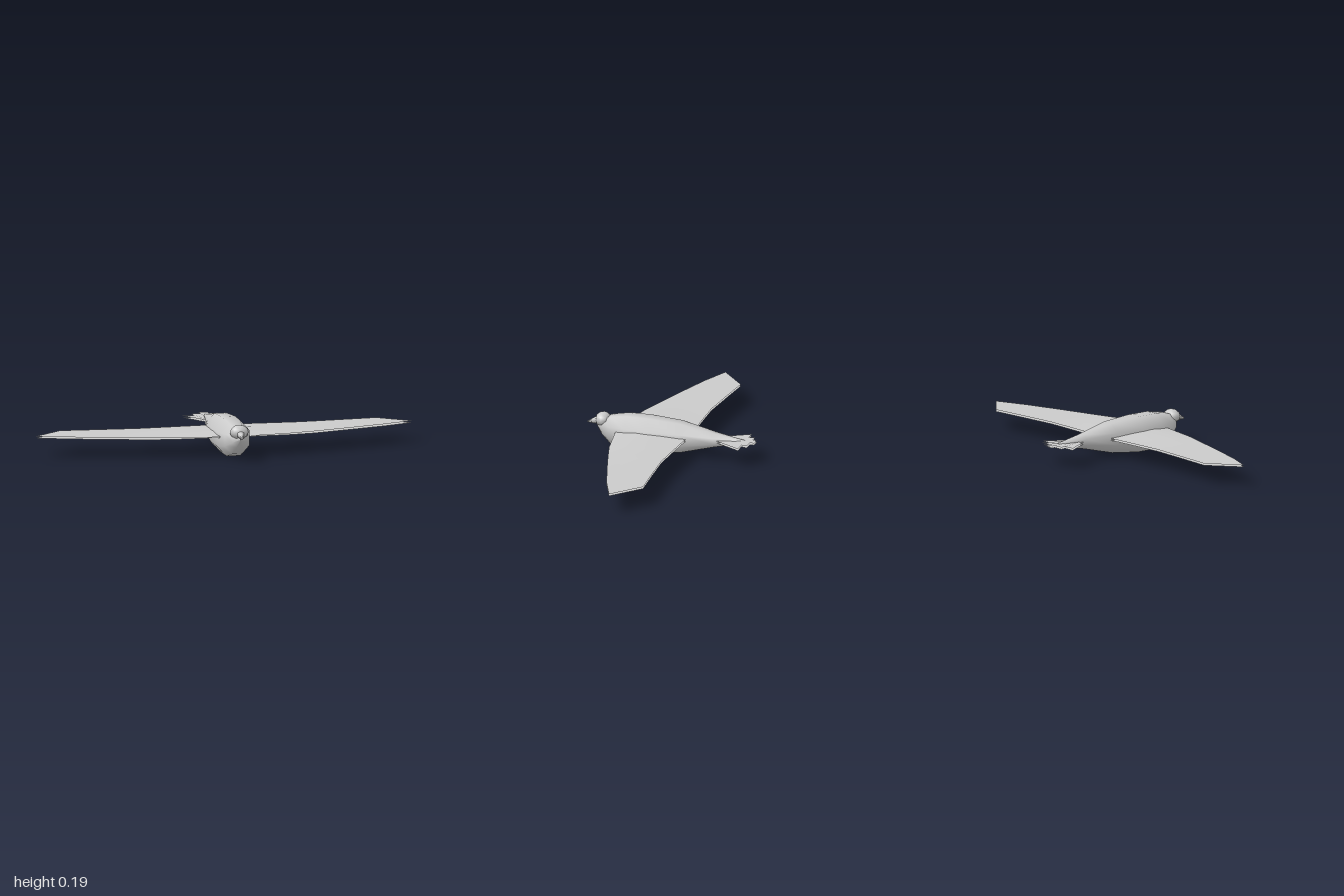
import * as THREE from 'three';

const solid = new THREE.MeshStandardMaterial({ color: 0xcccccc });
const thin = new THREE.MeshStandardMaterial({ color: 0xcccccc, side: THREE.DoubleSide });

// Skin a grid of points: rows of equal length, optionally closed around each row
function skin(rows, closed = false, flip = false) {
  const n = rows[0].length, index = [];
  for (let i = 0; i < rows.length - 1; i++) {
    for (let j = 0; j < (closed ? n : n - 1); j++) {
      const k = (j + 1) % n;
      const a = i * n + j, b = i * n + k, c = a + n, d = b + n;
      if (flip) index.push(a, c, b, b, c, d);
      else index.push(a, b, c, b, d, c);
    }
  }
  const g = new THREE.BufferGeometry();
  g.setAttribute('position', new THREE.Float32BufferAttribute(rows.flat(2), 3));
  g.setIndex(index);
  g.computeVertexNormals();
  return g;
}

function add(parent, name, geometry, material = solid) {
  const mesh = new THREE.Mesh(geometry, material);
  mesh.name = name;
  parent.add(mesh);
  return mesh;
}

// Eight-sided body; sections are [z, bottom, top, half width]
function bodyGeometry() {
  const sections = [
    [0.40, 0.117, 0.119, 0.001], [0.37, 0.073, 0.16, 0.036], [0.32, 0.03, 0.176, 0.066],
    [0.23, 0.003, 0.19, 0.086], [0.11, 0.003, 0.19, 0.09], [-0.06, 0.022, 0.178, 0.076],
    [-0.24, 0.066, 0.14, 0.039], [-0.40, 0.098, 0.114, 0.01], [-0.41, 0.106, 0.108, 0.001],
  ];
  const c = Math.cos(Math.PI / 8);
  return skin(sections.map(([z, lo, hi, w]) => Array.from({ length: 8 }, (_, j) => {
    const a = (j + 0.5) * Math.PI / 4;
    return [w * Math.cos(a) / c, (lo + hi) / 2 + (hi - lo) / 2 * Math.sin(a) / c, z];
  })), true, true);
}

// One wing sheet; the upper one is arched near the root and flat further out
function wingSheet(upper) {
  const stations = [ // x, leading edge z, trailing edge z
    [0, 0.285, -0.11], [0.09, 0.275, -0.10], [0.3, 0.24, -0.09], [0.43, 0.205, -0.085],
    [0.65, 0.142, -0.1], [0.84, 0.083, -0.115], [1, 0.02, 0.018],
  ];
  return skin(stations.map(([x, front, back]) => [0, 0.3, 0.65, 1].map((t, i) => {
    const root = Math.max(0, 1 - x / 0.43);
    const y = upper ? 0.11 + root * [0.004, 0.018, 0.012, 0][i] : 0.1 + root * 0.012 * (1 - t);
    return [x, y, front + (back - front) * t];
  })), false, !upper);
}

// Flat feather, widening from its root to a straight end
function feather(y, x0, x1, end0, end1, zEnd) {
  return skin([[[x0, y, -0.24], [x1, y, -0.24]], [[end0, y, zEnd], [end1, y, zEnd]]]);
}

export function createModel() {
  const model = new THREE.Group();
  model.name = 'bird';

  add(model, 'body', bodyGeometry());

  // Head
  const headGeometry = new THREE.SphereGeometry(1, 8, 6);
  headGeometry.scale(0.05, 0.038, 0.042);
  add(model, 'head', headGeometry).position.set(0, 0.152, 0.367);

  // Beak halves: cones with the tip lowered
  const beak = (name, radius, length, y, drop) => {
    const g = new THREE.ConeGeometry(radius, length, 6);
    g.rotateX(Math.PI / 2);
    const p = g.attributes.position;
    for (let i = 0; i < p.count; i++) if (p.getZ(i) > 0) p.setY(i, p.getY(i) - drop);
    g.computeVertexNormals();
    add(model, name, g).position.set(0, y, 0.455 - length / 2);
  };
  beak('upperBeak', 0.021, 0.055, 0.145, 0.015);
  beak('lowerBeak', 0.012, 0.052, 0.133, 0.007);

  // Wings: two open sheets each
  for (const [name, side] of [['leftWing', 1], ['rightWing', -1]]) {
    const wing = new THREE.Group();
    wing.name = name;
    wing.scale.x = side;
    add(wing, 'upperSheet', wingSheet(true), thin);
    add(wing, 'lowerSheet', wingSheet(false), thin);
    model.add(wing);
  }

  // Tail: fanned feathers, each with an upper and a lower sheet
  const tail = new THREE.Group();
  tail.name = 'tail';
  for (const base of [0.1, 0.11]) {
    add(tail, 'middleFeather', feather(base + 0.002, -0.012, 0.012, -0.025, 0.025, -0.46), thin);
    for (const side of [1, -1]) {
      add(tail, 'innerFeather', feather(base, 0.004, 0.024, 0.015, 0.072, -0.435), thin).scale.x = side;
      add(tail, 'outerFeather', feather(base - 0.002, 0.014, 0.028, 0.045, 0.122, -0.402), thin).scale.x = side;
    }
  }
  model.add(tail);
  return model;
}
